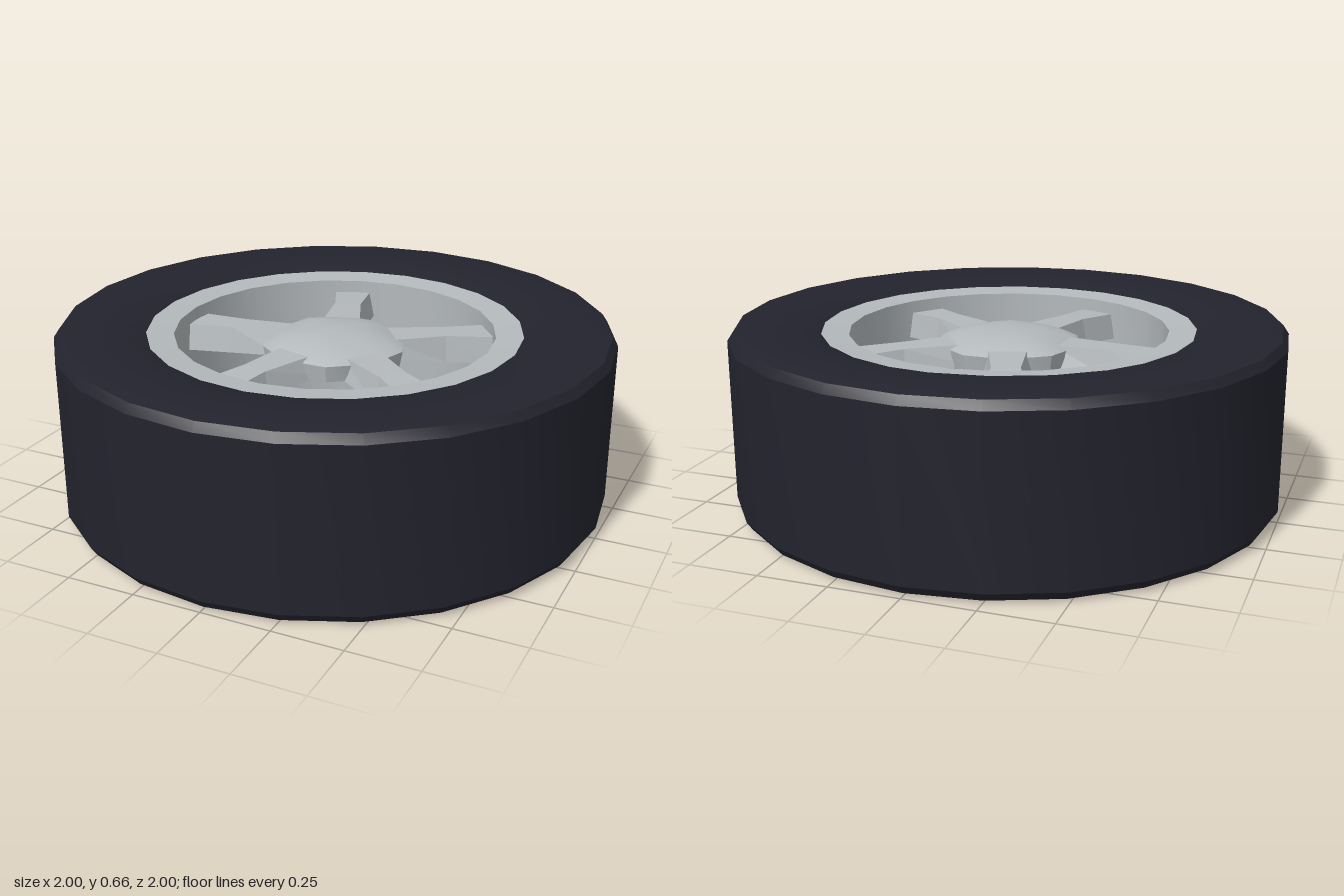
import * as THREE from 'three';
import { toCreasedNormals } from 'three/addons/utils/BufferGeometryUtils.js';

const SIDES = 24;

// Turned part from [radius, height] pairs, with sharp edges kept
function turned(profile, sides, crease = 0.5) {
  const points = profile.map(([r, y]) => new THREE.Vector2(r, y));
  return toCreasedNormals(new THREE.LatheGeometry(points, sides), crease);
}

// Spoke along +x, narrow in the middle, with sloping flanks
function spokeGeometry() {
  // radius, top height, bottom height, half width on top, half width below
  const stations = [
    [0.18, 0.59, 0.52, 0.07, 0.09],
    [0.40, 0.585, 0.49, 0.05, 0.068],
    [0.575, 0.575, 0.48, 0.068, 0.087],
  ];
  const positions = [];
  const index = [];
  for (const [x, top, bottom, t, b] of stations) {
    positions.push(x, top, -t, x, top, t, x, bottom, b, x, bottom, -b);
  }
  for (let i = 0; i < stations.length - 1; i++) {
    for (let j = 0; j < 4; j++) {
      const a = i * 4 + j;
      const b = i * 4 + ((j + 1) % 4);
      index.push(a, b, b + 4, a, b + 4, a + 4);
    }
  }
  const e = (stations.length - 1) * 4;
  index.push(e, e + 1, e + 2, e, e + 2, e + 3, 0, 2, 1, 0, 3, 2);
  const geometry = new THREE.BufferGeometry();
  geometry.setAttribute('position', new THREE.Float32BufferAttribute(positions, 3));
  geometry.setIndex(index);
  const flat = geometry.toNonIndexed();
  flat.computeVertexNormals();
  return flat;
}

// Domed hub, drawn in slightly where the five spokes meet it
function hubGeometry() {
  const points = [[0, 0.515], [0.24, 0.515], [0.25, 0.575], [0.2, 0.6], [0.12, 0.618], [0, 0.626]]
    .map(([r, y]) => new THREE.Vector2(r, y));
  const geometry = new THREE.LatheGeometry(points, 20);
  const p = geometry.attributes.position;
  for (let i = 0; i < p.count; i++) {
    const angle = Math.atan2(p.getZ(i), p.getX(i));
    const k = 1 + 0.05 * Math.cos(5 * angle);
    p.setX(i, p.getX(i) * k);
    p.setZ(i, p.getZ(i) * k);
  }
  return toCreasedNormals(geometry, 0.6);
}

export function createModel() {
  const rubber = new THREE.MeshStandardMaterial({ color: 0x23232e });
  rubber.name = 'dark rubber';
  const metal = new THREE.MeshStandardMaterial({ color: 0xb4b9bc });
  metal.name = 'light metal';

  const wheel = new THREE.Group();
  wheel.name = 'wheel';
  const add = (name, geometry, material) => {
    const mesh = new THREE.Mesh(geometry, material);
    mesh.name = name;
    wheel.add(mesh);
    return mesh;
  };

  // Tyre: side walls dip towards the rim
  add('tyre', turned([
    [0.675, 0.03], [0.75, 0.005], [0.9, 0], [0.98, 0.01], [1, 0.04],
    [1, 0.62], [0.98, 0.65], [0.9, 0.66], [0.75, 0.655], [0.675, 0.63],
  ], SIDES), rubber);

  // Rim: flat lips joined by a straight barrel
  add('rim', turned([
    [0.675, 0.63], [0.577, 0.622], [0.577, 0.038], [0.675, 0.03],
  ], SIDES), metal);

  add('hub', hubGeometry(), metal);

  // Five spokes, one pointing to -x
  const spoke = spokeGeometry();
  for (let i = 0; i < 5; i++) {
    add('spoke', spoke, metal).rotation.y = Math.PI + (i * Math.PI * 2) / 5;
  }
  return wheel;
}
